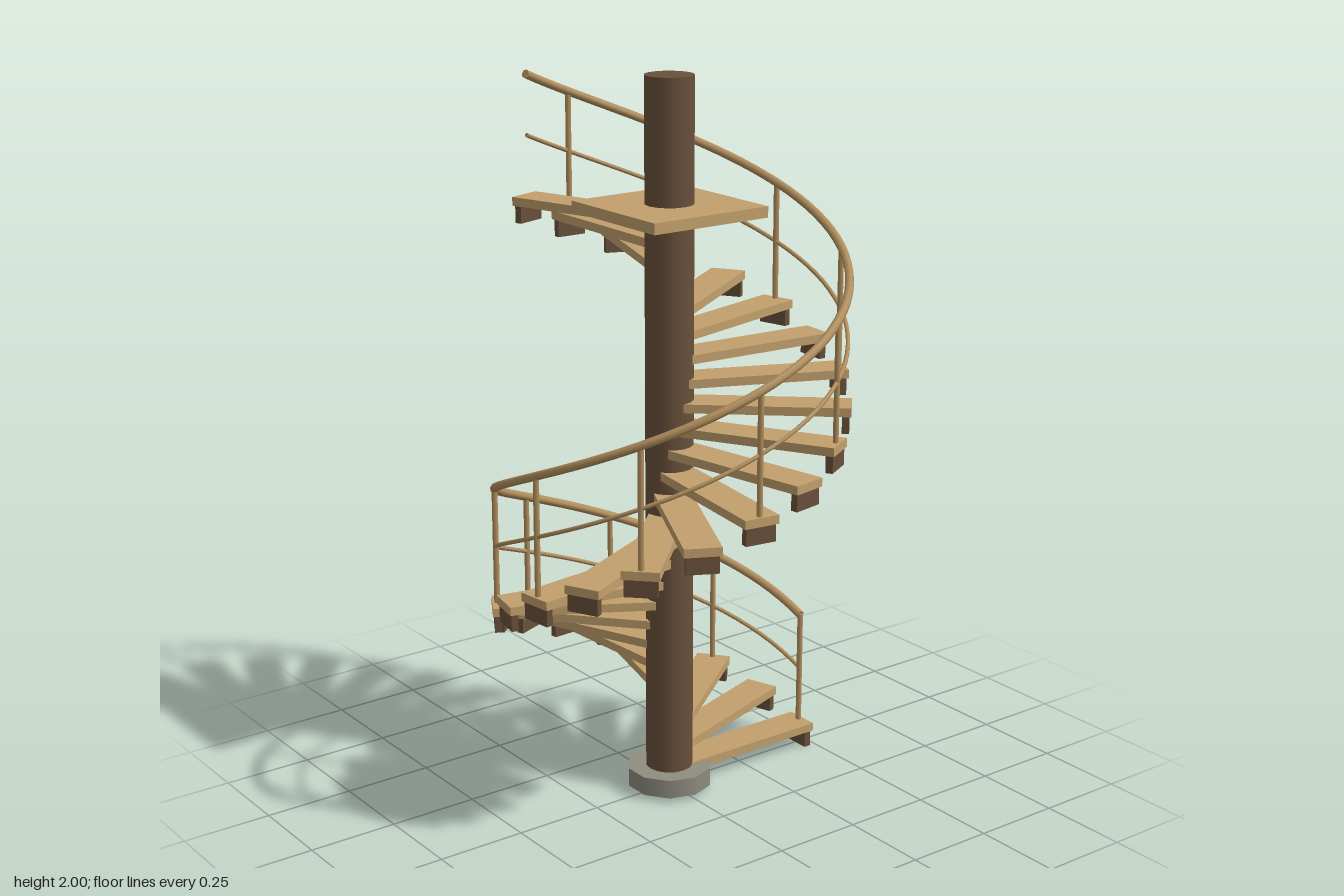
import * as THREE from 'three';

const STEPS = 26;
const RISE = 0.0625;
const TURN = THREE.MathUtils.degToRad(18.72); // angle between steps
const FIRST_Y = 0.06;                         // centre height of the first tread
const RAIL_R = 0.473;

const paint = (name, color) => Object.assign(new THREE.MeshStandardMaterial({ color }), { name });

// Helix whose height rises with the steps
class Helix extends THREE.Curve {
  constructor(startY) {
    super();
    this.startY = startY;
  }
  getPoint(t, target = new THREE.Vector3()) {
    const i = t * (STEPS - 1);
    const a = i * TURN;
    return target.set(RAIL_R * Math.cos(a), this.startY + i * RISE, -RAIL_R * Math.sin(a));
  }
}

export function createModel() {
  const root = new THREE.Group();
  root.name = 'spiralStaircase';
  const wood = paint('light wood', 0xc2a06c);
  const railWood = paint('rail wood', 0xb28f5d);
  const darkWood = paint('dark wood', 0x69503b);
  const stone = paint('grey stone', 0x8f8d80);

  const add = (name, geometry, material, x, y, z, parent = root) => {
    const mesh = new THREE.Mesh(geometry, material);
    mesh.name = name;
    mesh.position.set(x, y, z);
    parent.add(mesh);
    return mesh;
  };

  // Central column, foot and top landing
  add('column', new THREE.CylinderGeometry(0.066, 0.066, 1.99, 16), darkWood, 0, 1.005, 0);
  add('base', new THREE.CylinderGeometry(0.12, 0.12, 0.053, 10), stone, 0, 0.0395, 0);
  add('landing', new THREE.BoxGeometry(0.366, 0.03, 0.366), wood, 0, 1.65, 0);

  // Treads with a block under the outer end, and a baluster on every second one
  const treadGeo = new THREE.BoxGeometry(0.45, 0.024, 0.1);
  const blockGeo = new THREE.BoxGeometry(0.02, 0.048, 0.088);
  const postGeo = new THREE.CylinderGeometry(0.008, 0.008, 0.33, 8);
  for (let i = 0; i < STEPS; i++) {
    const step = new THREE.Group();
    step.name = 'step' + (i + 1);
    step.position.y = FIRST_Y + i * RISE;
    step.rotation.y = i * TURN;
    root.add(step);
    add('tread', treadGeo, wood, 0.262, 0, 0, step);
    add('treadBlock', blockGeo, darkWood, 0.472, -0.036, 0, step);
    if (i % 2 === 0) add('baluster', postGeo, railWood, RAIL_R, 0.177, 0, step);
  }

  // Spiral rails with closed ends
  const addRail = (name, startY, radius) => {
    const rail = new THREE.Group();
    rail.name = name;
    root.add(rail);
    const curve = new Helix(startY);
    add('railTube', new THREE.TubeGeometry(curve, 100, radius, 8), railWood, 0, 0, 0, rail);
    for (const t of [0, 1]) {
      const p = curve.getPoint(t);
      const cap = add('railEnd', new THREE.CircleGeometry(radius, 8), railWood, p.x, p.y, p.z, rail);
      cap.lookAt(p.clone().addScaledVector(curve.getTangent(t), t ? 1 : -1));
    }
  };
  addRail('handrail', 0.4, 0.012);
  addRail('lowerRail', 0.235, 0.006);

  return root;
}
